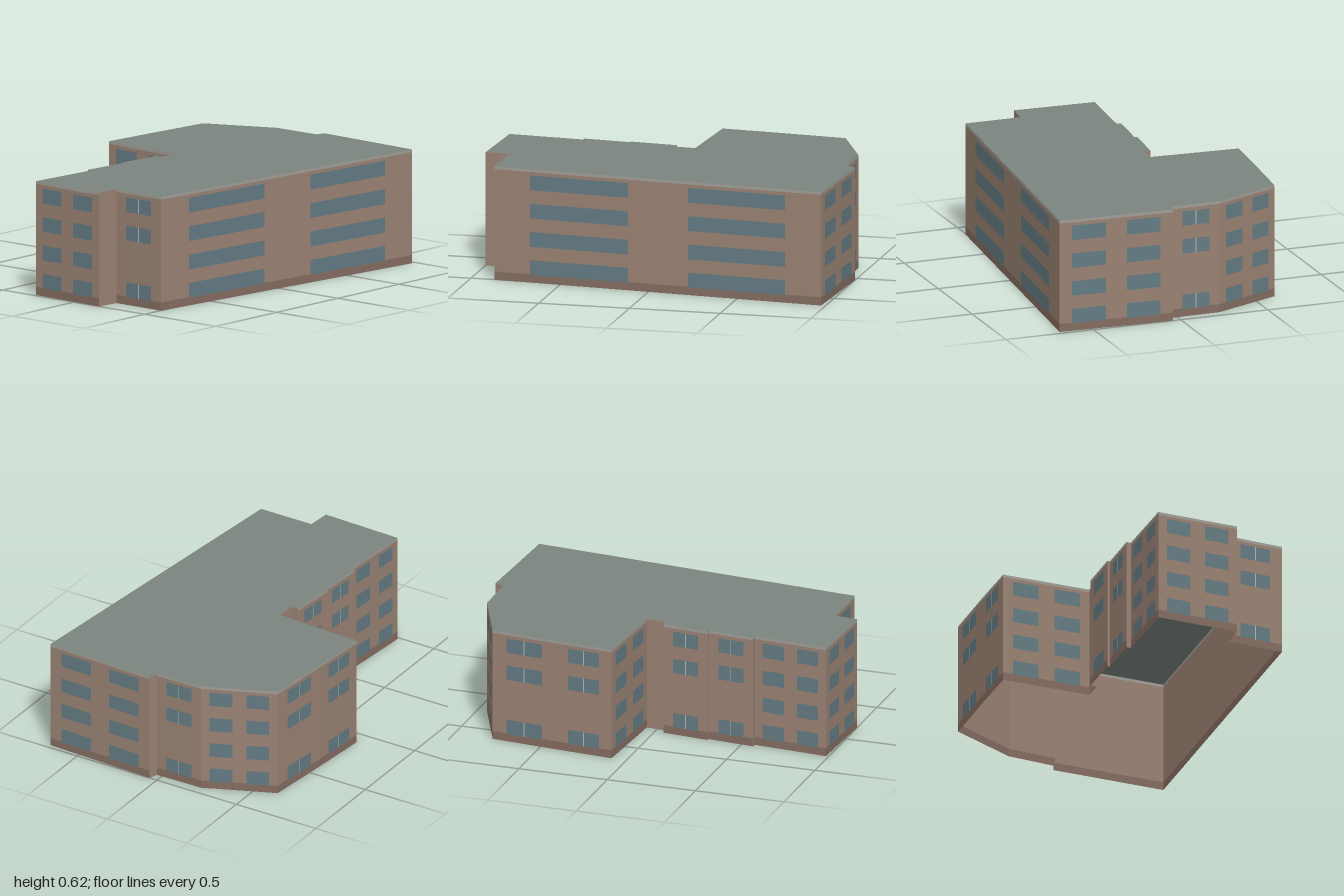
import * as THREE from 'three';

const HEIGHT = 0.62, PLINTH = 0.045, TRIM = 0.605;

// Footprint corners (x, z), running along the back, down the left and back along the front
const FOOTPRINT = [
  [-0.985, -0.28], [-0.57, -0.245], [-0.57, -0.27], [-0.31, -0.245], [-0.31, -0.26],
  [-0.05, -0.235], [-0.05, -0.2], [0.06, -0.19], [0.085, -0.688], [0.41, -0.66],
  [0.78, -0.623], [0.945, -0.245], [0.95, 0.03], [1.0, 0.045], [0.975, 0.683],
  [-0.87, 0.505], [-0.87, 0.19], [-1.0, 0.178],
];

// Lower edges of the window rows, ground floor first
const ROWS = [0.042, 0.196, 0.351, 0.506], WINDOW_HEIGHT = 0.081;

const paint = (color) => new THREE.MeshStandardMaterial({ color, side: THREE.DoubleSide, roughness: 0.9 });

export function createModel() {
  const model = new THREE.Group();
  model.name = 'building';
  const wallMat = paint(0x9a8273), plinthMat = paint(0x846c60), trimMat = paint(0xa09e98);
  const glassMat = paint(0x647b83), frameMat = paint(0xb4b8b6), roofMat = paint(0x7b8480);

  // Flat panel on the wall a-b, from fraction t0 to t1 and height y0 to y1
  function panel(group, name, mat, a, b, t0, t1, y0, y1, offset = 0) {
    const dx = b[0] - a[0], dz = b[1] - a[1], length = Math.hypot(dx, dz);
    const nx = dz / length, nz = -dx / length, t = (t0 + t1) / 2;
    const mesh = new THREE.Mesh(new THREE.PlaneGeometry(length * (t1 - t0), y1 - y0), mat);
    mesh.position.set(a[0] + dx * t + nx * offset, (y0 + y1) / 2, a[1] + dz * t + nz * offset);
    mesh.rotation.y = Math.atan2(nx, nz);
    mesh.name = name;
    group.add(mesh);
  }

  FOOTPRINT.forEach((a, i) => {
    const b = FOOTPRINT[(i + 1) % FOOTPRINT.length];
    const length = Math.hypot(b[0] - a[0], b[1] - a[1]);
    const side = new THREE.Group();
    side.name = 'facade' + (i + 1);
    model.add(side);

    // Short returns are plain
    if (length < 0.2) {
      panel(side, 'plainWall', wallMat, a, b, 0, 1, 0, HEIGHT);
      return;
    }
    panel(side, 'plinth', plinthMat, a, b, 0, 1, 0, PLINTH);
    panel(side, 'wall', wallMat, a, b, 0, 1, PLINTH, TRIM);
    panel(side, 'roofTrim', trimMat, a, b, 0, 1, TRIM, HEIGHT);

    ROWS.forEach((y, row) => {
      const top = y + WINDOW_HEIGHT;
      if (length > 0.4) {
        // Long walls: two wide windows on every floor
        panel(side, 'window', glassMat, a, b, 0.11, 0.407, y, top, 0.002);
        panel(side, 'window', glassMat, a, b, 0.59, 0.89, y, top, 0.002);
      } else if (row !== 1) {
        // Narrow walls: one window with a mullion, none on the second floor
        panel(side, 'window', glassMat, a, b, 0.22, 0.78, y, top, 0.002);
        panel(side, 'mullion', frameMat, a, b, 0.49, 0.51, y, top, 0.003);
      }
    });
  });

  // Flat roof; the underside of the building stays open
  const outline = new THREE.Shape(FOOTPRINT.map(([x, z]) => new THREE.Vector2(x, -z)));
  const roof = new THREE.Mesh(new THREE.ShapeGeometry(outline).rotateX(-Math.PI / 2), roofMat);
  roof.position.y = HEIGHT;
  roof.name = 'roof';
  model.add(roof);
  return model;
}
